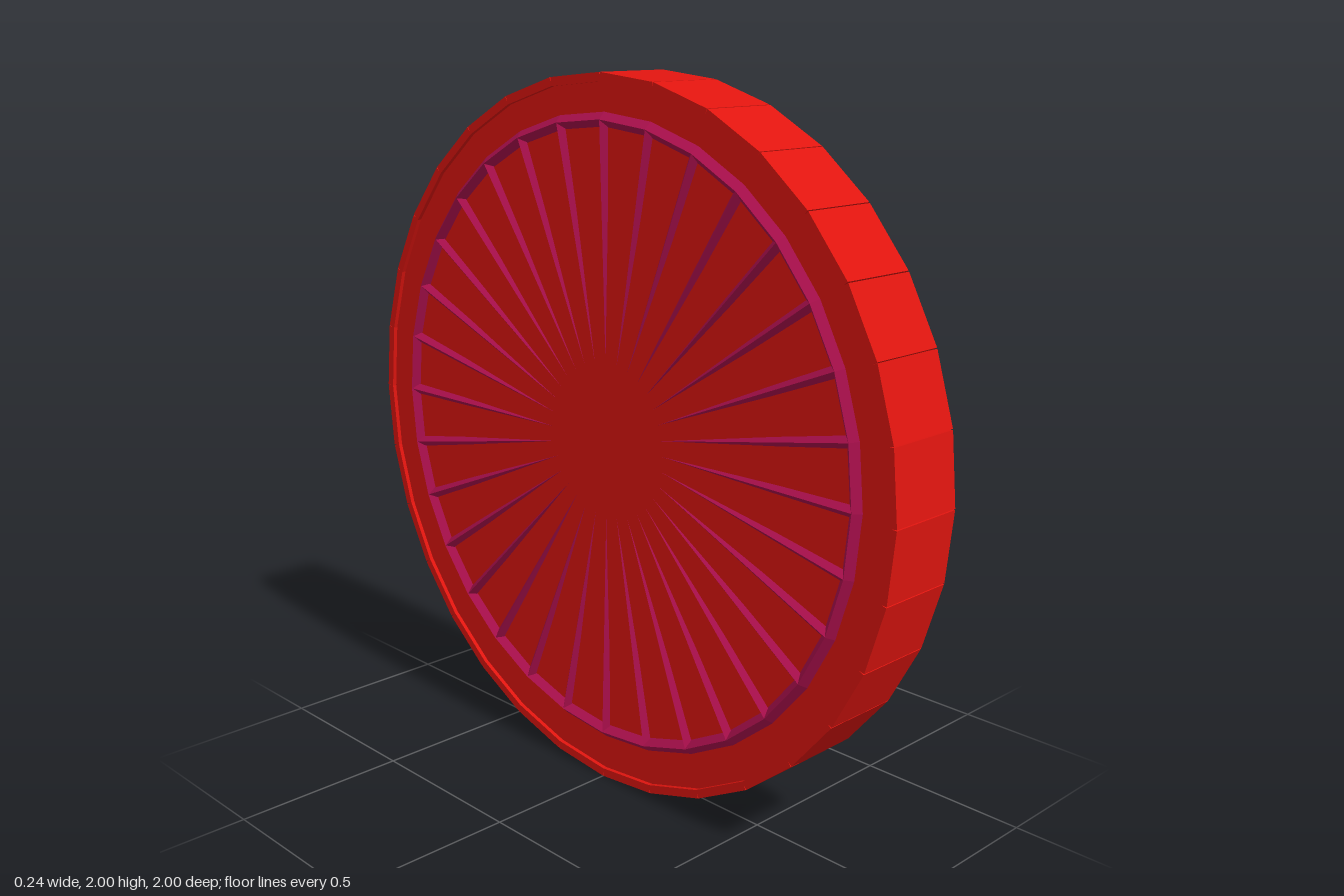
import * as THREE from 'three';

const SIDES = 32;
const STEP = (Math.PI * 2) / SIDES;

export function createModel() {
  const model = new THREE.Group();
  model.name = 'ribbedDish';
  const red = new THREE.MeshStandardMaterial({ color: 0xe0150f, flatShading: true });
  const magenta = new THREE.MeshStandardMaterial({ color: 0xb0104f, flatShading: true });

  const add = (parent, name, geometry, material) => {
    const mesh = new THREE.Mesh(geometry, material);
    mesh.name = name;
    parent.add(mesh);
    return mesh;
  };

  // Everything turns around the x axis through the dish centre
  const dish = new THREE.Group();
  dish.name = 'dish';
  dish.position.y = 1;
  model.add(dish);

  // Thin floor closing the -x side
  const floor = new THREE.CylinderGeometry(0.977, 0.977, 0.015, SIDES).rotateZ(Math.PI / 2);
  add(dish, 'floor', floor, red).position.x = -0.0925;

  // Rim of separate flat panels, with small notches between their outer edges
  const rim = new THREE.Group();
  rim.name = 'rim';
  dish.add(rim);
  const panel = new THREE.BoxGeometry(0.23, 0.024, 0.193).translate(0.003, 0.983, 0);
  for (let i = 0; i < SIDES; i++) {
    add(rim, 'rimPanel', panel, red).rotation.x = (i + 0.5) * STEP;
  }

  // Ring and tapering ribs on the back, sinking into the floor towards the centre
  const grille = new THREE.Group();
  grille.name = 'grille';
  grille.position.set(0, 0.012, 0.005);
  dish.add(grille);
  const ring = new THREE.TorusGeometry(0.868, 0.019, 4, SIDES).rotateY(Math.PI / 2);
  add(grille, 'ring', ring, magenta).position.x = -0.101;

  const rib = new THREE.CylinderGeometry(0.016, 0.002, 0.82, 4)
    .rotateZ(0.012)
    .translate(-0.098, 0.46, 0);
  for (let i = 0; i < SIDES; i++) {
    add(grille, 'rib', rib, magenta).rotation.x = i * STEP;
  }

  return model;
}
